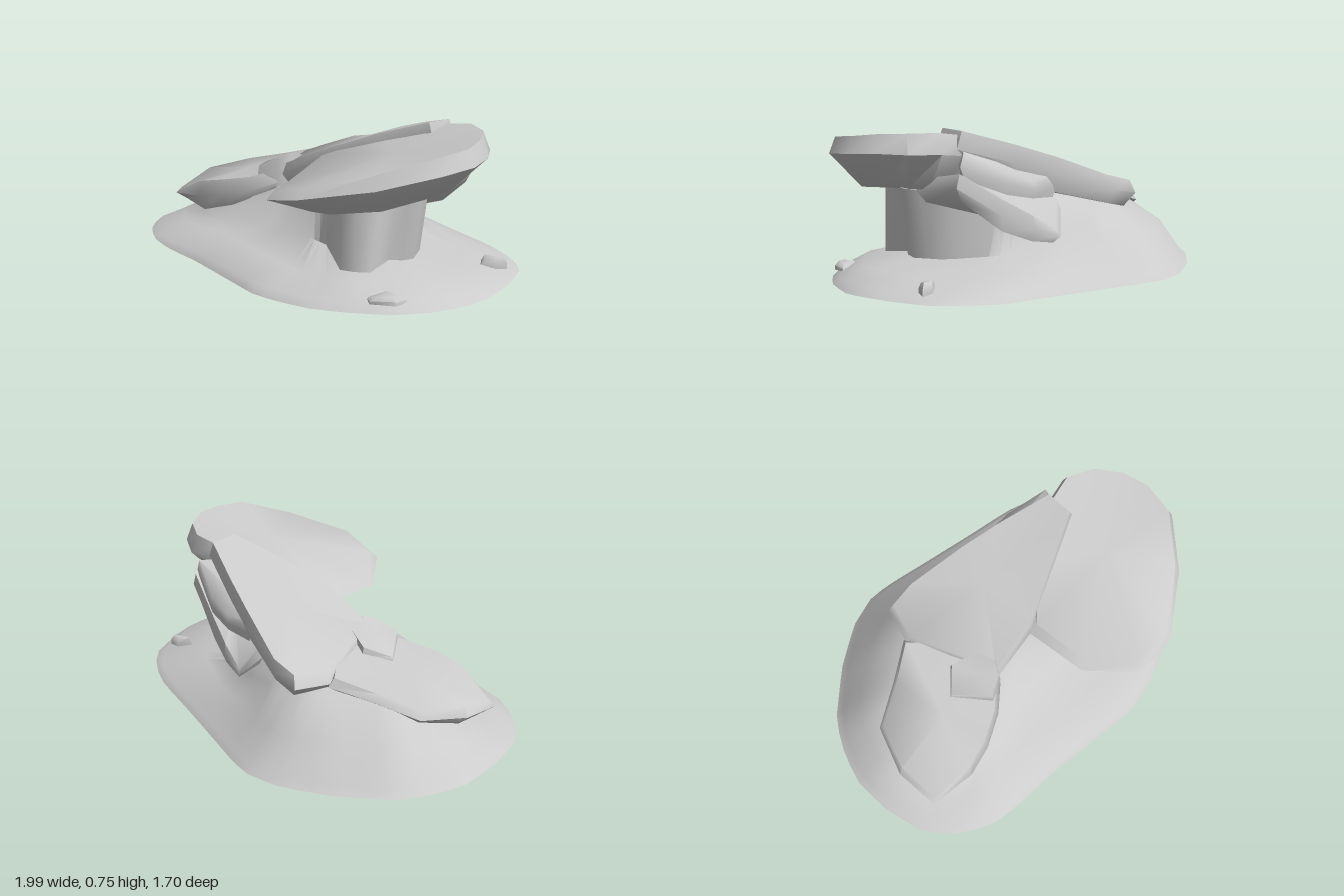
import * as THREE from 'three';
import { toCreasedNormals } from 'three/addons/utils/BufferGeometryUtils.js';

const stone = new THREE.MeshStandardMaterial({ color: 0xcccccc, side: THREE.DoubleSide });

// Skins a stack of equal-length rings from bottom to top, with optional end caps
function loft(name, rings, capBottom, capTop, crease) {
  const n = rings[0].length;
  const verts = rings.flat(2);
  const index = [];
  for (let r = 0; r < rings.length - 1; r++) {
    for (let i = 0; i < n; i++) {
      const j = (i + 1) % n;
      const a = r * n + i, b = r * n + j, c = a + n, d = b + n;
      index.push(a, c, b, b, c, d);
    }
  }
  const addCap = (start, centre, up) => {
    const k = verts.length / 3;
    verts.push(...centre);
    for (let i = 0; i < n; i++) {
      const a = start + i, b = start + (i + 1) % n;
      if (up) index.push(a, k, b); else index.push(a, b, k);
    }
  };
  if (capBottom) addCap(0, capBottom, false);
  if (capTop) addCap((rings.length - 1) * n, capTop, true);
  const geo = new THREE.BufferGeometry();
  geo.setAttribute('position', new THREE.Float32BufferAttribute(verts, 3));
  geo.setIndex(index);
  const mesh = new THREE.Mesh(toCreasedNormals(geo, crease), stone);
  mesh.name = name;
  return mesh;
}

// Resamples an outline of [x, y, z] points at even angles around the y axis
function polarRing(points, n) {
  return Array.from({ length: n }, (_, k) => {
    const t = -Math.PI + (k / n) * Math.PI * 2, dx = Math.cos(t), dz = Math.sin(t);
    for (let i = 0; i < points.length; i++) {
      const p = points[i], q = points[(i + 1) % points.length];
      const sp = dx * p[2] - dz * p[0], sq = dx * q[2] - dz * q[0];
      if (sp > 0 || sq <= 0) continue;
      const f = sp / (sp - sq);
      const v = p.map((c, m) => c + (q[m] - c) * f);
      if (v[0] * dx + v[2] * dz > 0) return v;
    }
    return [0, 0, 0];
  });
}

// Bevelled slab from an outline of [x, z, top, bottom] points
function slab(name, points, { under = 0.78, over = 0.93, edge = 0.5 } = {}) {
  const mid = [0, 1, 2, 3].map((m) => points.reduce((s, p) => s + p[m], 0) / points.length);
  const ring = (scale, mix) => points.map((p) => [
    mid[0] + (p[0] - mid[0]) * scale,
    p[3] + (p[2] - p[3]) * mix,
    mid[1] + (p[1] - mid[1]) * scale,
  ]);
  return loft(name, [ring(under, 0), ring(1, edge), ring(over, 1)],
    [mid[0], mid[3], mid[1]], [mid[0], mid[2] + 0.005, mid[1]], 1.1);
}

export function createModel() {
  const group = new THREE.Group();
  group.name = 'rockFormation';

  // Hollow mound: rim, lip, apron, foot of the wall, top of the wall
  const rim = [
    [-1, -0.27], [-0.9, -0.5], [-0.78, -0.66], [-0.65, -0.75], [-0.48, -0.83], [-0.18, -0.855],
    [0.07, -0.835], [0.24, -0.77], [0.33, -0.69], [0.5, -0.5], [0.7, -0.28], [0.87, -0.1],
    [0.97, 0.05], [1, 0.2], [0.96, 0.38], [0.9, 0.53], [0.82, 0.64], [0.65, 0.77], [0.47, 0.84],
    [0.28, 0.85], [0.1, 0.84], [-0.05, 0.79], [-0.2, 0.72], [-0.4, 0.53], [-0.6, 0.34],
    [-0.8, 0.18], [-0.92, 0.06], [-0.98, -0.1],
  ].map(([x, z]) => [x, x * x > 0.8 ? 0.015 : 0.005, z]);
  const lip = rim.map(([x, , z]) => [x * 0.96, z > 0.3 ? 0.04 : 0.035, z * 0.96]);
  const apron = [
    [-0.85, 0.07, -0.25], [-0.75, 0.12, -0.5], [-0.45, 0.18, -0.7], [-0.1, 0.19, -0.7],
    [0.12, 0.16, -0.64], [0.32, 0.13, -0.42], [0.52, 0.1, -0.2], [0.7, 0.08, 0.1],
    [0.74, 0.08, 0.4], [0.57, 0.085, 0.65], [0.25, 0.09, 0.74], [0, 0.08, 0.6],
    [-0.25, 0.09, 0.4], [-0.5, 0.1, 0.16], [-0.75, 0.09, 0.01],
  ];
  const wallFoot = [
    [-0.74, 0.12, -0.25], [-0.6, 0.22, -0.43], [-0.4, 0.32, -0.5], [0, 0.33, -0.5],
    [0.18, 0.29, -0.42], [0.36, 0.2, -0.22], [0.48, 0.14, 0], [0.52, 0.12, 0.26],
    [0.5, 0.12, 0.44], [0.39, 0.13, 0.48], [0.33, 0.11, 0.61], [0.19, 0.11, 0.62],
    [0.08, 0.14, 0.36], [-0.2, 0.16, 0.16], [-0.45, 0.14, 0.06], [-0.68, 0.11, -0.08],
  ];
  const wallTop = [
    [-0.66, 0.18, -0.24], [-0.38, 0.33, -0.36], [0, 0.36, -0.38], [0.25, 0.4, -0.2],
    [0.45, 0.42, 0], [0.56, 0.45, 0.28], [0.54, 0.46, 0.47], [0.4, 0.45, 0.5],
    [0.32, 0.44, 0.61], [0.18, 0.42, 0.59], [0.09, 0.4, 0.35], [-0.15, 0.36, 0.1],
    [-0.4, 0.25, 0], [-0.58, 0.2, -0.06],
  ];
  const layers = [rim, lip, apron, wallFoot, wallTop].map((p) => polarRing(p, 64));
  group.add(loft('mound', layers, null, [0.05, 0.43, 0], 1.2));

  // Broad front slab overhanging the pedestal, undercut all round
  group.add(slab('overhangSlab', [
    [-0.16, 0.42, 0.46, 0.38], [-0.02, 0.14, 0.54, 0.38], [0.3, 0.1, 0.64, 0.4],
    [0.6, 0.12, 0.72, 0.45], [0.77, 0.2, 0.745, 0.47], [0.84, 0.34, 0.745, 0.48],
    [0.84, 0.5, 0.74, 0.5], [0.79, 0.64, 0.725, 0.5], [0.66, 0.77, 0.71, 0.49],
    [0.38, 0.84, 0.64, 0.44], [0.02, 0.83, 0.56, 0.41], [-0.14, 0.7, 0.5, 0.39],
  ], { under: 0.64, edge: 0.65, over: 0.92 }));

  // Tilted slab crossing the middle
  group.add(slab('crossingSlab', [
    [-0.24, 0, 0.44, 0.32], [-0.18, -0.25, 0.45, 0.32], [-0.12, -0.48, 0.43, 0.32],
    [0.04, -0.6, 0.46, 0.33], [0.16, -0.52, 0.49, 0.36], [0.36, -0.27, 0.6, 0.43],
    [0.5, -0.08, 0.67, 0.5], [0.66, 0.16, 0.745, 0.58], [0.57, 0.28, 0.75, 0.56],
    [0.3, 0.22, 0.67, 0.5], [0, 0.15, 0.56, 0.42],
  ], { under: 0.88, over: 0.94 }));

  // Low slab sloping down to the right end
  group.add(slab('lowSlab', [
    [-0.88, -0.23, 0.21, 0.15], [-0.76, -0.42, 0.28, 0.17], [-0.55, -0.555, 0.31, 0.23],
    [-0.32, -0.52, 0.36, 0.28], [-0.1, -0.5, 0.41, 0.32], [-0.08, -0.2, 0.44, 0.35],
    [-0.25, 0.02, 0.4, 0.28], [-0.4, 0.03, 0.36, 0.22], [-0.57, 0, 0.33, 0.18],
    [-0.71, -0.06, 0.3, 0.14],
  ], { under: 0.86, edge: 0.5, over: 0.93 }));

  // Wedge-shaped block beside the crossing slab
  group.add(slab('brokenBlock', [
    [-0.37, -0.22, 0.39, 0.33], [-0.22, -0.24, 0.44, 0.36], [-0.14, -0.12, 0.46, 0.36],
    [-0.18, -0.01, 0.49, 0.34], [-0.25, 0.02, 0.47, 0.32], [-0.36, 0, 0.42, 0.31],
  ], { under: 0.95 }));

  // Two ledges stepping down the left flank
  group.add(slab('lowerLedge', [
    [0.28, -0.26, 0.4, 0.28], [0.4, -0.28, 0.26, 0.2], [0.5, -0.18, 0.34, 0.22],
    [0.61, -0.04, 0.43, 0.28], [0.75, 0.14, 0.56, 0.43], [0.64, 0.36, 0.52, 0.41],
    [0.45, 0.3, 0.5, 0.38], [0.3, 0, 0.48, 0.36],
  ], { under: 0.88 }));
  group.add(slab('upperLedge', [
    [0.34, -0.25, 0.52, 0.41], [0.48, -0.17, 0.5, 0.42], [0.6, -0.06, 0.55, 0.45],
    [0.72, 0.13, 0.65, 0.53], [0.5, 0.2, 0.66, 0.5], [0.3, -0.1, 0.56, 0.44],
  ], { under: 0.92 }));

  // Low stones on the rim: x, z, height, radius
  [[0.87, 0.25, 0.1, 0.07], [0.42, 0.78, 0.08, 0.1]].forEach(([x, z, h, r], s) => {
    const corners = Array.from({ length: 5 }, (_, i) => {
      const a = s + (i / 5) * Math.PI * 2;
      return [x + Math.cos(a) * r, z + Math.sin(a) * r * 0.5, h - 0.01 * (i % 3), 0.04];
    });
    group.add(slab('rimStone' + (s + 1), corners, { under: 1, over: 0.7 }));
  });

  return group;
}
